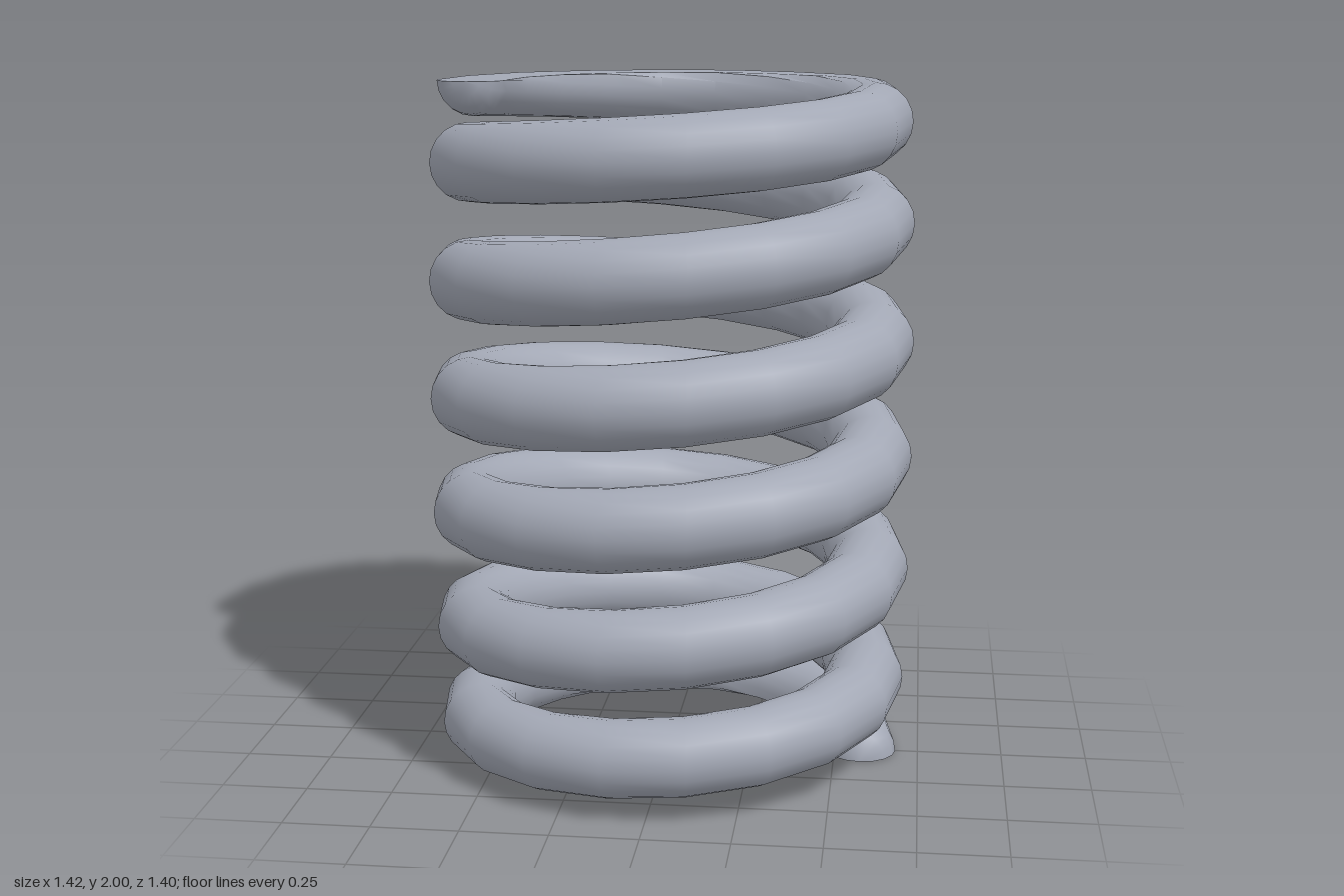
import * as THREE from 'three';
import { toCreasedNormals } from 'three/addons/utils/BufferGeometryUtils.js';

const HALF_TURNS = 13;
const STEPS = 9; // rings per half turn
const SIDES = 20; // points around the wire
const CAP = 4; // rings in each rounded wire end

// Wire height at each half turn: closed-up end coils, even pitch between
const low = [0, 0.11, 0.235, 0.4, 0.575, 0.745, 0.915];
const heights = [...low, ...low.map((y) => 2 - y).reverse()];
const rise = new THREE.CatmullRomCurve3(
  heights.map((y, i) => new THREE.Vector3(i, y, 0)), false, 'catmullrom', 0.5);

// One cross-section of the wire, ground flat at y = 0 and y = 2
function addRing(points, t, shift, scale) {
  const angle = t * HALF_TURNS * Math.PI;
  const swell = Math.sin(Math.PI * t) ** 0.7;
  const coil = 0.578 + 0.015 * swell;
  const wire = 0.105 + 0.013 * swell;
  const y = rise.getPoint(t).y;
  const c = Math.cos(angle), s = Math.sin(angle);
  for (let j = 0; j < SIDES; j++) {
    const a = (j / SIDES) * Math.PI * 2;
    const r = coil + wire * scale * Math.cos(a);
    points.push(
      r * c - s * shift * wire,
      THREE.MathUtils.clamp(y + wire * scale * Math.sin(a), 0, 2),
      -r * s - c * shift * wire);
  }
}

function coilGeometry() {
  const points = [];
  const index = [];
  const rings = HALF_TURNS * STEPS;

  // Rounded start, coils, rounded finish
  for (let i = CAP; i > 0; i--) {
    const a = (i / CAP) * Math.PI / 2;
    addRing(points, 0, -Math.sin(a), Math.max(Math.cos(a), 0.001));
  }
  for (let i = 0; i <= rings; i++) addRing(points, i / rings, 0, 1);
  for (let i = 1; i <= CAP; i++) {
    const a = (i / CAP) * Math.PI / 2;
    addRing(points, 1, Math.sin(a), Math.max(Math.cos(a), 0.001));
  }

  // Skin between neighbouring rings
  const total = points.length / 3 / SIDES;
  for (let i = 0; i < total - 1; i++) {
    for (let j = 0; j < SIDES; j++) {
      const k = (j + 1) % SIDES;
      const a = i * SIDES + j, b = i * SIDES + k;
      const c = a + SIDES, d = b + SIDES;
      index.push(a, c, b, b, c, d);
    }
  }

  const geometry = new THREE.BufferGeometry();
  geometry.setAttribute('position', new THREE.Float32BufferAttribute(points, 3));
  geometry.setIndex(index);
  return toCreasedNormals(geometry, 0.7);
}

export function createModel() {
  const model = new THREE.Group();
  model.name = 'compressionSpring';

  const steel = new THREE.MeshStandardMaterial({ color: 0xa3a8b5 });
  steel.name = 'steel grey';

  const coil = new THREE.Mesh(coilGeometry(), steel);
  coil.name = 'springCoil';
  model.add(coil);
  return model;
}
